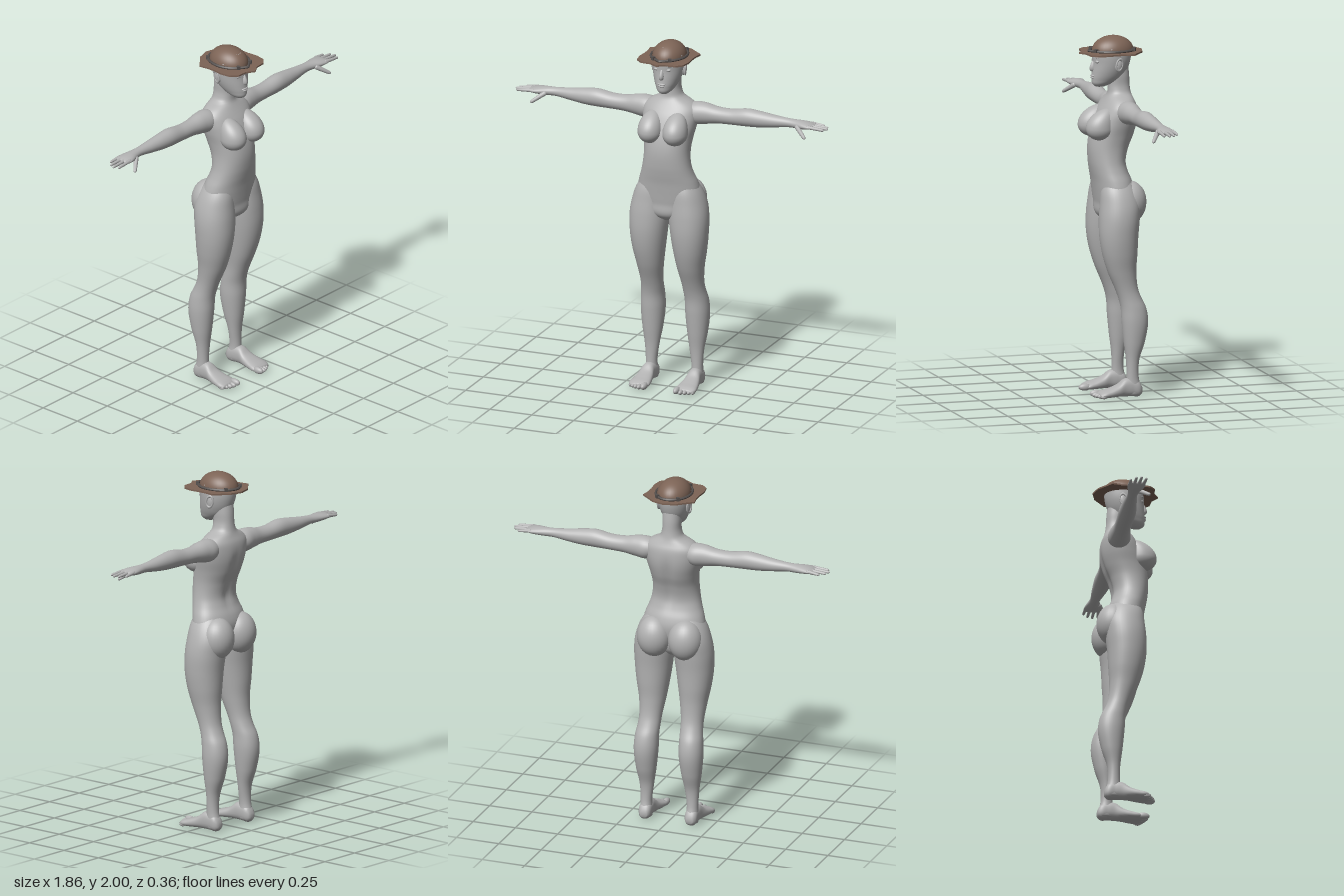
import * as THREE from 'three';

const skin = new THREE.MeshStandardMaterial({ color: 0xb2b2b2 });
skin.name = 'grey skin';
const felt = new THREE.MeshStandardMaterial({ color: 0x7d6456 });
felt.name = 'brown felt';
const bandGrey = new THREE.MeshStandardMaterial({ color: 0x55504e });
bandGrey.name = 'dark band';

// Closed smooth skin through oval sections: rows of [y, xMin, xMax, zMin, zMax]
function loft(rows, steps = 60, segs = 36, squareness = 1) {
  const curve = new THREE.CubicInterpolant(rows.map(r => r[0]), rows.flatMap(r => r.slice(1)), 4, new Float32Array(4));
  const y0 = rows[0][0], y1 = rows[rows.length - 1][0];
  const pos = [], index = [];
  const bend = v => Math.sign(v) * Math.abs(v) ** squareness;
  for (let i = 0; i <= steps; i++) {
    const y = y0 + (y1 - y0) * i / steps;
    const [a, b, c, d] = curve.evaluate(y);
    for (let j = 0; j < segs; j++) {
      const t = j / segs * Math.PI * 2;
      pos.push((a + b) / 2 + (b - a) / 2 * bend(Math.cos(t)), y, (c + d) / 2 + (d - c) / 2 * bend(Math.sin(t)));
    }
  }
  for (let i = 0; i < steps; i++) for (let j = 0; j < segs; j++) {
    const k = (j + 1) % segs;
    const a = i * segs + j, b = i * segs + k, c = a + segs, d = b + segs;
    index.push(a, c, b, b, c, d);
  }
  const n = pos.length / 3;
  for (const [r, y] of [[rows[0], y0], [rows[rows.length - 1], y1]]) pos.push((r[1] + r[2]) / 2, y, (r[3] + r[4]) / 2);
  for (let j = 0; j < segs; j++) {
    const k = (j + 1) % segs, top = steps * segs;
    index.push(n, j, k, n + 1, top + k, top + j);
  }
  const g = new THREE.BufferGeometry();
  g.setAttribute('position', new THREE.Float32BufferAttribute(pos, 3));
  g.setIndex(index);
  g.computeVertexNormals();
  return g;
}

// Move each vertex by a rule
function reshape(g, rule) {
  const p = g.attributes.position, v = new THREE.Vector3();
  for (let i = 0; i < p.count; i++) {
    rule(v.fromBufferAttribute(p, i));
    p.setXYZ(i, v.x, v.y, v.z);
  }
  g.computeVertexNormals();
  return g;
}

const ball = (x, y, z, rx, ry, rz, tilt = 0) =>
  new THREE.SphereGeometry(1, 28, 20).scale(rx, ry, rz).rotateX(tilt).translate(x, y, z);

// Rounded finger between two points
function finger(from, to, r) {
  const a = new THREE.Vector3(...from), b = new THREE.Vector3(...to), dir = b.clone().sub(a);
  const q = new THREE.Quaternion().setFromUnitVectors(new THREE.Vector3(0, 1, 0), dir.clone().normalize());
  const g = new THREE.CapsuleGeometry(r, dir.length(), 6, 12);
  reshape(g, v => { const s = 1 - 0.3 * (v.y / dir.length() + 0.5); v.x *= s; v.z *= s; });
  return g.applyQuaternion(q).translate(...a.add(b).multiplyScalar(0.5).toArray());
}

function mirrored(g) {
  const m = g.clone().scale(-1, 1, 1), ix = m.index.array;
  for (let i = 0; i < ix.length; i += 3) [ix[i], ix[i + 1]] = [ix[i + 1], ix[i]];
  const n = m.attributes.normal, o = g.attributes.normal;
  for (let i = 0; i < n.count; i++) n.setXYZ(i, -o.getX(i), o.getY(i), o.getZ(i));
  return m;
}

export function createModel() {
  const model = new THREE.Group();
  model.name = 'figureWithHat';
  const add = (name, g, mat = skin) => {
    const m = new THREE.Mesh(g, mat);
    m.name = name;
    model.add(m);
  };
  const pair = (name, g, mat) => {
    add('left' + name, g, mat);
    add('right' + name, mirrored(g), mat);
  };

  // Torso and neck, with a shallow groove along the spine
  const torso = loft([
    [0.97, 0.03, -0.06, 0.03], [1.0, 0.1, -0.09, 0.072], [1.08, 0.165, -0.11, 0.084], [1.15, 0.178, -0.12, 0.093],
    [1.2, 0.168, -0.11, 0.1], [1.25, 0.15, -0.09, 0.11], [1.3, 0.137, -0.08, 0.118], [1.38, 0.13, -0.097, 0.122],
    [1.45, 0.137, -0.125, 0.113], [1.52, 0.152, -0.142, 0.093], [1.58, 0.16, -0.144, 0.068], [1.62, 0.155, -0.138, 0.045],
    [1.65, 0.122, -0.126, 0.027], [1.675, 0.072, -0.118, 0.014], [1.71, 0.054, -0.112, 0.01], [1.78, 0.052, -0.108, 0.012],
    [1.85, 0.05, -0.1, 0.01],
  ].map(([y, w, b, f]) => [y, -w, w, b, f]), 90, 48, 0.92);
  add('torso', reshape(torso, v => {
    if (v.z < -0.04) v.z += 0.014 * Math.exp(-((v.x / 0.028) ** 2)) * Math.exp(-(((v.y - 1.4) / 0.15) ** 4));
  }));

  // Breasts: rounded below, sloping up to the chest
  pair('Breast', reshape(new THREE.SphereGeometry(1, 36, 28), v => {
    const up = Math.max(v.y, 0);
    v.set(0.074 + 0.069 * v.x, 1.497 + v.y * (v.y > 0 ? 0.11 : 0.068), 0.08 + 0.08 * v.z - 0.045 * up * up);
  }));
  pair('Buttock', ball(0.092, 1.08, -0.083, 0.097, 0.118, 0.094));

  // Legs
  pair('Leg', loft([
    [0.01, 0.104, 0.168, -0.135, -0.05], [0.05, 0.102, 0.17, -0.134, -0.05], [0.1, 0.105, 0.168, -0.122, -0.054],
    [0.2, 0.093, 0.174, -0.124, -0.052], [0.3, 0.077, 0.19, -0.155, -0.04], [0.42, 0.065, 0.2, -0.175, -0.028],
    [0.5, 0.065, 0.195, -0.162, -0.022], [0.55, 0.063, 0.188, -0.138, -0.01], [0.6, 0.06, 0.186, -0.12, 0.008],
    [0.7, 0.045, 0.197, -0.11, 0.05], [0.8, 0.03, 0.215, -0.115, 0.08], [0.9, 0.016, 0.226, -0.12, 0.095],
    [1.0, 0.004, 0.227, -0.13, 0.095], [1.08, 0.003, 0.213, -0.135, 0.088], [1.15, 0.01, 0.187, -0.115, 0.08],
    [1.23, 0.03, 0.135, -0.07, 0.055],
  ], 90, 36, 0.95));

  // Feet run along z, with five toes
  pair('Foot', loft([
    [-0.14, 0.115, 0.155, -0.05, -0.015], [-0.125, 0.104, 0.168, -0.08, 0], [-0.08, 0.1, 0.172, -0.1, 0],
    [-0.04, 0.1, 0.175, -0.1, -0.001], [0, 0.092, 0.185, -0.07, -0.002], [0.05, 0.083, 0.195, -0.05, 0],
    [0.09, 0.08, 0.198, -0.038, -0.001], [0.112, 0.09, 0.185, -0.026, -0.006],
  ], 36, 28, 0.85).rotateX(Math.PI / 2));
  [[0.097, 0.147, 0.017], [0.124, 0.142, 0.0125], [0.146, 0.134, 0.0115], [0.167, 0.123, 0.0105], [0.186, 0.11, 0.0095]]
    .forEach(([x, tip, r], i) => pair('Toe' + (i + 1), ball(x, r * 1.15, tip - 2 * r, r, r * 1.15, r * 2)));

  // Arms and palms run along x: [x, top, bottom, back, front]
  pair('Arm', loft([
    [0.07, 1.63, 1.56, -0.1, -0.01], [0.14, 1.651, 1.525, -0.122, 0.004], [0.2, 1.65, 1.53, -0.116, -0.004],
    [0.27, 1.636, 1.541, -0.108, -0.014], [0.35, 1.634, 1.545, -0.107, -0.015], [0.45, 1.648, 1.547, -0.108, -0.012],
    [0.52, 1.642, 1.55, -0.106, -0.018], [0.6, 1.631, 1.559, -0.102, -0.029], [0.7, 1.621, 1.572, -0.095, -0.04],
    [0.74, 1.62, 1.572, -0.1, -0.034], [0.79, 1.618, 1.575, -0.109, -0.018], [0.83, 1.611, 1.582, -0.111, -0.014],
    [0.848, 1.604, 1.588, -0.105, -0.022],
  ].map(([x, t, b, z0, z1]) => [x, -t, -b, z0, z1]), 80, 32).rotateZ(-Math.PI / 2));
  [[-0.1, -0.104, 0.882], [-0.076, -0.077, 0.912], [-0.051, -0.05, 0.922], [-0.026, -0.022, 0.908]]
    .forEach(([z, zTip, x], i) => pair('Finger' + (i + 1), finger([0.82, 1.599, z], [x, 1.593, zTip], 0.0105)));
  pair('Thumb', finger([0.755, 1.588, -0.035], [0.81, 1.548, 0.006], 0.014));

  // Head and face
  add('head', loft([
    [1.718, 0.018, 0.03, 0.082], [1.73, 0.036, 0, 0.098], [1.76, 0.057, -0.06, 0.105], [1.8, 0.074, -0.092, 0.103],
    [1.85, 0.086, -0.112, 0.099], [1.9, 0.09, -0.12, 0.1], [1.94, 0.087, -0.118, 0.092], [1.98, 0.055, -0.08, 0.06],
  ].map(([y, w, b, f]) => [y, -w, w, b, f]), 50, 40));
  add('nose', reshape(new THREE.SphereGeometry(1, 20, 20), v => {
    const low = (1 - v.y) / 2;
    v.set(v.x * (0.009 + 0.01 * low), 1.835 + 0.034 * v.y, 0.094 + v.z * (0.01 + 0.022 * low));
  }));
  add('upperLip', ball(0, 1.781, 0.1, 0.024, 0.006, 0.011));
  add('lowerLip', ball(0, 1.77, 0.099, 0.02, 0.007, 0.012));
  pair('Eye', ball(0.035, 1.862, 0.083, 0.016, 0.009, 0.012));
  pair('Brow', ball(0.036, 1.886, 0.086, 0.024, 0.005, 0.009));
  pair('Ear', ball(0.084, 1.845, -0.025, 0.011, 0.036, 0.021, -0.2));
  pair('EarRim', new THREE.TorusGeometry(0.02, 0.005, 8, 24).scale(1, 1.6, 1)
    .rotateY(Math.PI / 2 + 0.25).rotateX(-0.2).translate(0.092, 1.847, -0.026));

  // Hat brim with a pointed front and side corners; shape y becomes -z
  const half = [[0.07, 0.165], [0.115, 0.128], [0.152, 0.098], [0.143, 0.05], [0.142, 0],
    [0.148, -0.06], [0.138, -0.115], [0.105, -0.146], [0.045, -0.15]];
  const outline = new THREE.Shape();
  outline.moveTo(0, 0.185);
  half.forEach(([x, y]) => outline.lineTo(x, y));
  outline.lineTo(0, -0.178);
  [...half].reverse().forEach(([x, y]) => outline.lineTo(-x, y));
  outline.closePath();
  add('hatBrim', new THREE.ExtrudeGeometry(outline, { depth: 0.009, bevelEnabled: false })
    .rotateX(-Math.PI / 2).translate(0, 1.906, 0), felt);
  add('hatCrown', new THREE.SphereGeometry(1, 36, 16, 0, Math.PI * 2, 0, Math.PI / 2)
    .scale(0.092, 0.086, 0.118).translate(0, 1.914, -0.016), felt);

  // Hat band, drawn to a peak at the front, with small clasps
  add('hatBand', reshape(new THREE.TorusGeometry(1, 0.07, 8, 64).rotateX(Math.PI / 2), v => {
    const peak = 0.015 * Math.exp(-((v.x / 0.25) ** 2)) * (v.z > 0 ? 1 : 0);
    v.set(v.x * 0.098, 1.92 + v.y * 0.12, -0.016 + v.z * 0.123 + peak);
  }), bandGrey);
  for (const a of [0.5, 2.5]) {
    pair('BandClasp' + (a < 1 ? 'Front' : 'Back'), new THREE.BoxGeometry(0.018, 0.024, 0.018)
      .rotateY(a).translate(0.102 * Math.sin(a), 1.922, -0.016 + 0.128 * Math.cos(a)), bandGrey);
  }
  return model;
}
